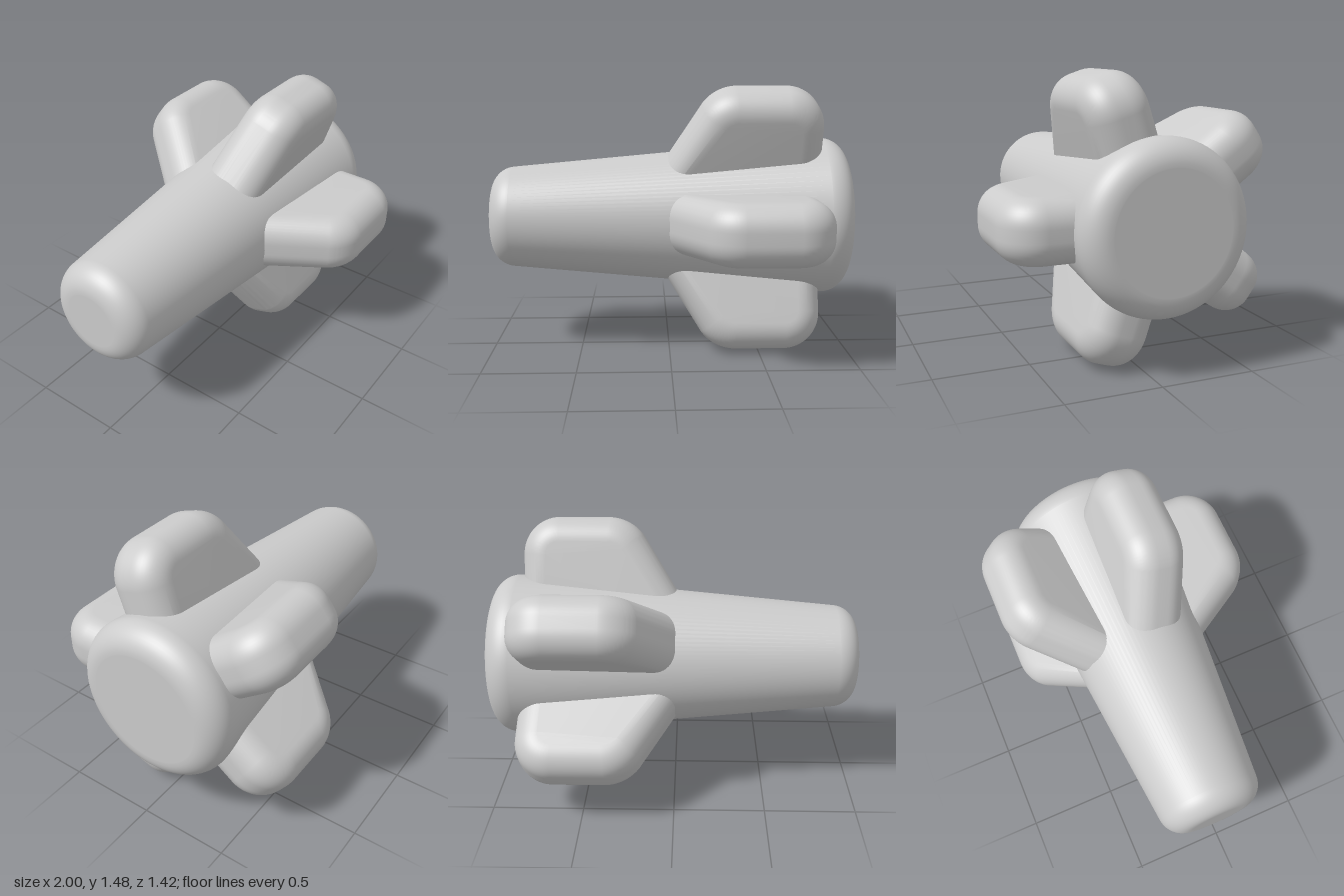
import * as THREE from 'three';
import { toCreasedNormals } from 'three/addons/utils/BufferGeometryUtils.js';

const material = new THREE.MeshStandardMaterial({ color: 0xcccccc });

// Tapered body, lathed about its own axis and laid along x
function createBody() {
  const profile = [new THREE.Vector2(0, -1), new THREE.Vector2(0.15, -1)];
  const tilt = 0.091, round = 0.13, steps = 12;
  const addArc = (y, r, from, to) => {
    for (let i = 0; i <= steps; i++) {
      const a = from + (to - from) * i / steps;
      profile.push(new THREE.Vector2(r + round * Math.cos(a), y + round * Math.sin(a)));
    }
  };
  addArc(-0.87, 0.155, -Math.PI / 2, -tilt); // narrow end
  addArc(0.87, 0.3135, -tilt, Math.PI / 2);  // wide end
  profile.push(new THREE.Vector2(0.308, 1), new THREE.Vector2(0, 1));
  const geometry = new THREE.LatheGeometry(profile, 96);
  geometry.rotateZ(-Math.PI / 2);
  return new THREE.Mesh(geometry, material);
}

// Swept fin with fully rounded edges, pointing up from the body axis
function createFinGeometry() {
  const bevel = 0.135, flat = 0.063;
  const shape = new THREE.Shape();
  shape.moveTo(-0.049, 0.1);
  shape.lineTo(0.705, 0.1);
  shape.absarc(0.635, 0.5575, 0.07, 0, Math.PI / 2, false);
  shape.absarc(0.37, 0.5275, 0.1, Math.PI / 2, THREE.MathUtils.degToRad(145), false);
  shape.closePath();
  const geometry = new THREE.ExtrudeGeometry(shape, {
    depth: flat, bevelEnabled: true, bevelThickness: bevel, bevelSize: bevel,
    bevelSegments: 12, curveSegments: 12,
  });
  geometry.translate(0, 0, -flat / 2);
  return toCreasedNormals(geometry, 0.6);
}

export function createModel() {
  const model = new THREE.Group();
  model.name = 'finnedBody';

  const body = createBody();
  body.name = 'body';
  model.add(body);

  // Five fins evenly spaced around the axis, the first facing the front
  const finGeometry = createFinGeometry();
  for (let i = 0; i < 5; i++) {
    const fin = new THREE.Mesh(finGeometry, material);
    fin.name = `fin${i + 1}`;
    fin.rotation.x = Math.PI / 2 + i * Math.PI * 2 / 5;
    model.add(fin);
  }

  model.position.set(0, 0.742, -0.0525);
  return model;
}
